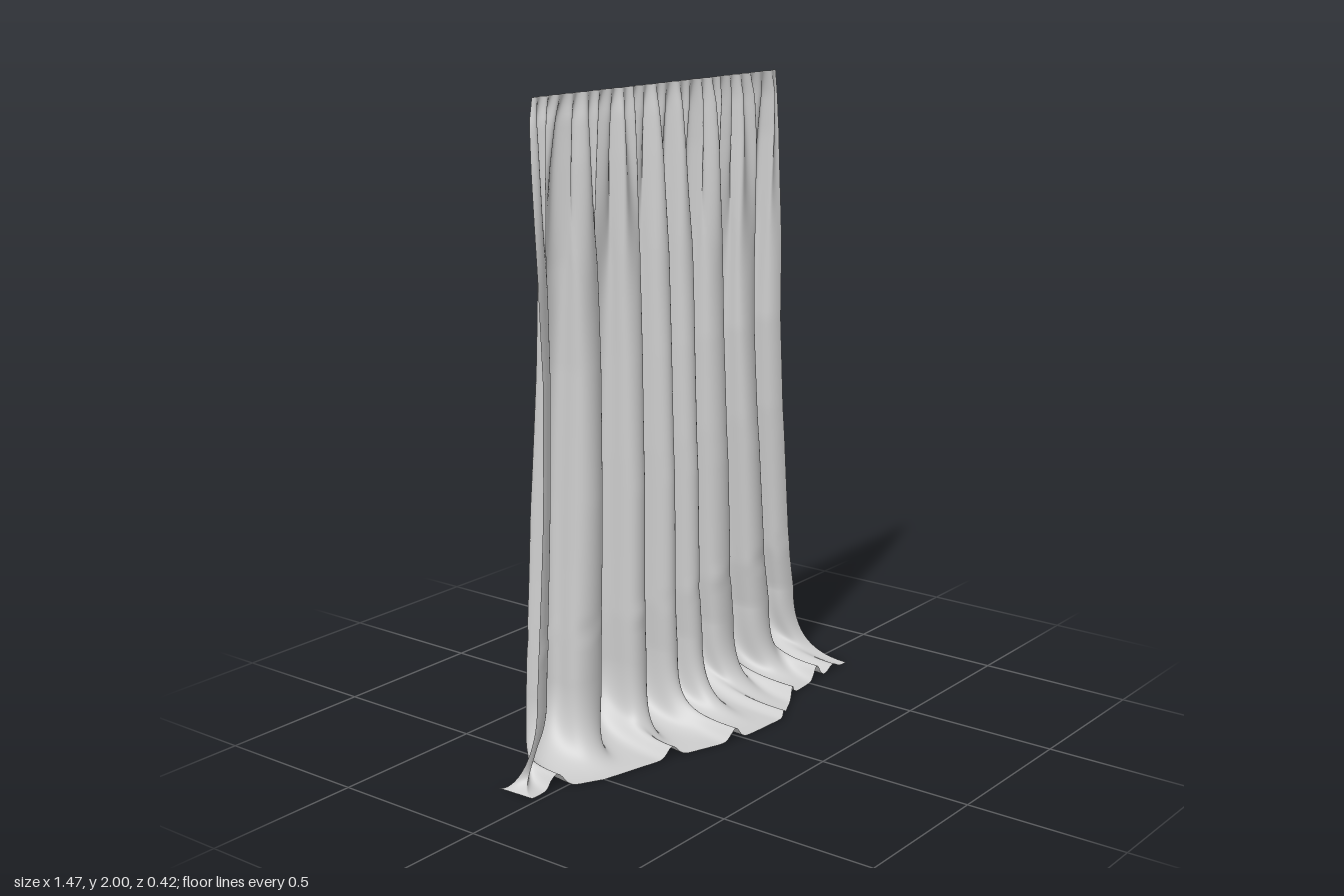
import * as THREE from 'three';

const COLS = 320, HANG = 90, PUDDLE = 36, FOOT = 0.25;
const smooth = (t) => t * t * (3 - 2 * t);

// smooth interpolation in a table of [key, value, ...] rows with rising keys
function lookup(table, k, col = 1) {
  if (k <= table[0][0]) return table[0][col];
  for (let i = 1; i < table.length; i++) {
    const a = table[i - 1], b = table[i];
    if (k <= b[0]) return a[col] + (b[col] - a[col]) * (k - a[0]) / (b[0] - a[0]);
  }
  return table[table.length - 1][col];
}

// side edges by height: [y, left x, right x]
const SIDES = [[0.25, -0.65, 0.69], [0.4, -0.64, 0.66], [0.6, -0.625, 0.64], [0.9, -0.605, 0.61],
  [1.2, -0.588, 0.595], [1.5, -0.587, 0.605], [1.8, -0.588, 0.615], [1.93, -0.583, 0.613], [2, -0.565, 0.6]];

// depth of the large folds by height
const DEPTH = [[0.25, 0.084], [0.8, 0.086], [1.2, 0.07], [1.5, 0.052], [1.8, 0.026], [1.9, 0.015], [2, 0.002]];

// crests (+) and hollows (-) of the large folds across the cloth: [x near the foot, strength]
const FOLDS = [[-0.65, 0.6], [-0.5, -1], [-0.39, 0.6], [-0.27, -0.8], [-0.18, 0.9], [-0.1, -0.8], [-0.03, 1],
  [0.04, -0.7], [0.11, 0.9], [0.18, -0.8], [0.28, 0.75], [0.38, -0.75], [0.48, 0.7], [0.59, -1], [0.69, 0.4]]
  .map(([x, s]) => [(x + 0.65) / 1.34, s]);

// hem line on the floor: [u, x, z]
const HEM = [[0, -0.735, -0.15], [0.035, -0.73, -0.02], [0.075, -0.65, -0.02], [0.16, -0.5, 0.06],
  [0.33, -0.25, 0.12], [0.47, -0.04, 0.195], [0.54, 0.06, 0.205], [0.63, 0.2, 0.212], [0.77, 0.4, 0.118],
  [0.88, 0.56, 0.105], [1, 0.735, 0.1]];

// crumpled ridges in the cloth on the floor: [x, width, height]
const RIDGES = [[-0.63, 0.025, 0.045], [-0.25, 0.025, 0.035], [-0.03, 0.025, 0.04], [0.22, 0.02, 0.018],
  [0.37, 0.026, 0.035], [0.55, 0.025, 0.045], [0.65, 0.03, 0.02]];

// hanging cloth: small gathers at the top merging into the large folds
function hang(u, y) {
  const left = lookup(SIDES, y, 1), width = lookup(SIDES, y, 2) - left;
  let i = 1;
  while (i < FOLDS.length - 1 && u > FOLDS[i][0]) i++;
  const a = FOLDS[i - 1], b = FOLDS[i], half = b[0] - a[0];
  const t = Math.min(1, Math.max(0, (u - a[0]) / half));
  const fold = a[1] + (b[1] - a[1]) * smooth(t);
  const depth = lookup(DEPTH, y);
  const lobes = 0.19 * half * Math.min(1, depth / 0.05);
  const gather = smooth(Math.min(1, Math.max(0, (y - 1.35) / 0.5)));
  const gatherDepth = 0.013 * gather * (y > 1.93 ? 1 - (y - 1.93) / 0.1 : 1);
  const wave = u * 22 * Math.PI * 2 + 0.8 * Math.sin(u * 17);
  const band = y > 0.37 && y < 0.45 ? 0.003 * Math.sin(u * 95) * Math.sin((y - 0.37) / 0.08 * Math.PI) : 0;
  const ripple = 0.004 * Math.sin(u * 61 + y * 2.3) * Math.min(1, (2 - y) * 2);
  return [
    left + width * (u + lobes * Math.sin(2 * Math.PI * t)),
    y,
    -0.12 + depth * fold + gatherDepth * Math.sin(wave) + band + ripple,
  ];
}

// foot of the cloth: sweeps down and forward onto the floor
function puddle(u, w) {
  const [x0, , z0] = hang(u, FOOT);
  const hx = lookup(HEM, u, 1), hz = lookup(HEM, u, 2);
  const v = 1 - w;
  const c0 = v * v * v, c1 = 3 * v * v * w, c2 = 3 * v * w * w, c3 = w * w * w;
  const x = x0 + (hx - x0) * smooth(w);
  const z = c0 * z0 + c1 * z0 + c2 * (z0 + (hz - z0) * 0.15) + c3 * hz;
  let y = c0 * FOOT + c1 * 0.1 + c2 * 0.008 + c3 * 0.004;
  for (const [rx, rw, rh] of RIDGES) y += rh * Math.exp(-(((x - rx) / rw) ** 2)) * smooth(w);
  return [x, y, z];
}

export function createModel() {
  const group = new THREE.Group();
  group.name = 'curtain';
  const cloth = new THREE.MeshStandardMaterial({ color: 0xcccccc, side: THREE.DoubleSide });
  cloth.name = 'grey cloth';

  // one grid of points from the top edge to the hem
  const points = [], upper = [], lower = [];
  const rows = HANG + PUDDLE;
  for (let r = 0; r <= rows; r++) {
    for (let c = 0; c <= COLS; c++) {
      const u = c / COLS;
      points.push(...(r <= HANG ? hang(u, 2 - (2 - FOOT) * r / HANG) : puddle(u, (r - HANG) / PUDDLE)));
      if (r === rows || c === COLS) continue;
      const a = r * (COLS + 1) + c, b = a + COLS + 1;
      (r < HANG ? upper : lower).push(a, b, a + 1, b, b + 1, a + 1);
    }
  }
  const whole = new THREE.BufferGeometry();
  whole.setAttribute('position', new THREE.Float32BufferAttribute(points, 3));
  whole.setIndex([...upper, ...lower]);
  whole.computeVertexNormals();

  // hanging panel and floor-length foot share points, so the shading runs through
  for (const [name, index] of [['hangingPanel', upper], ['pooledHem', lower]]) {
    const geometry = new THREE.BufferGeometry();
    geometry.setAttribute('position', whole.getAttribute('position'));
    geometry.setAttribute('normal', whole.getAttribute('normal'));
    geometry.setIndex(index);
    const mesh = new THREE.Mesh(geometry, cloth);
    mesh.name = name;
    group.add(mesh);
  }
  return group;
}
